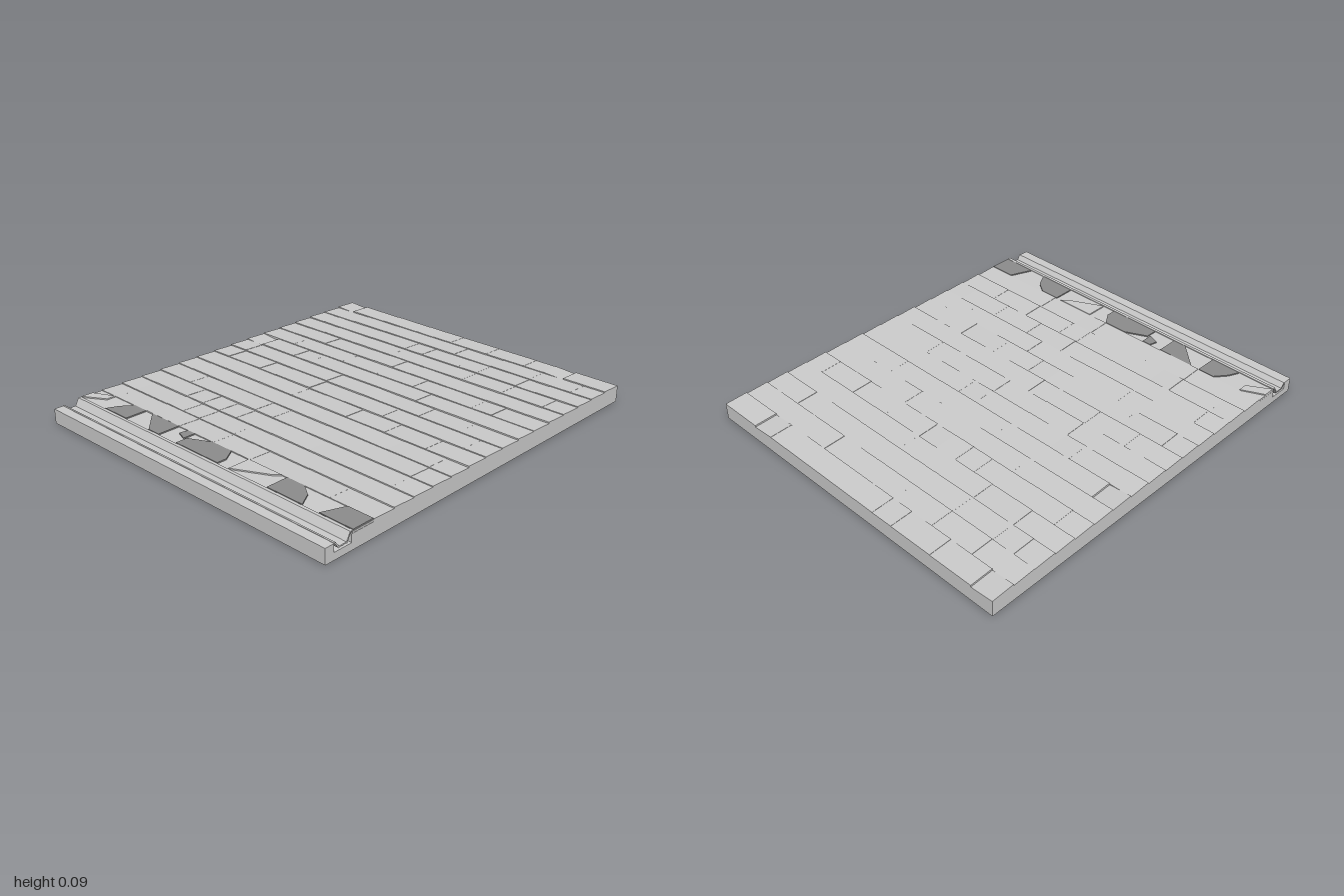
import * as THREE from 'three';

const W = 0.87, DECK = 0.072, TOP = 0.087;
const ROWS = 15, COLS = 15, PITCH_Z = 1.737 / ROWS, PITCH_X = (2 * W) / COLS;

// Small seeded generator for the uneven shingles
function seeded(seed) {
  return () => {
    seed = (seed * 1664525 + 1013904223) % 4294967296;
    return seed / 4294967296;
  };
}

// Extrudes a (z, y) outline across the full width
function acrossWidth(points) {
  const shape = new THREE.Shape(points.map(([z, y]) => new THREE.Vector2(z, y)));
  const geo = new THREE.ExtrudeGeometry(shape, { depth: 2 * W, bevelEnabled: false });
  return geo.rotateY(-Math.PI / 2).translate(W, 0, 0);
}

export function createModel() {
  const group = new THREE.Group();
  const grey = new THREE.MeshStandardMaterial({ color: 0xcccccc });
  const dark = new THREE.MeshStandardMaterial({ color: 0x8c8c8c });
  const add = (name, geo, material = grey, parent = group) => {
    const mesh = new THREE.Mesh(geo, material);
    mesh.name = name;
    parent.add(mesh);
    return mesh;
  };

  // Slab with a notch for the gutter and a raised front lip
  add('roofSlab', acrossWidth([
    [-1, 0], [1, 0], [1, 0.072], [0.953, 0.072], [0.953, 0.034],
    [0.86, 0.034], [0.86, DECK], [-1, DECK],
  ]));

  // Bent sheet gutter lying in the notch
  add('gutter', acrossWidth([
    [0.953, 0.074], [0.945, 0.074], [0.928, 0.05], [0.888, 0.05], [0.868, 0.086], [0.853, 0.086],
    [0.853, 0.082], [0.864, 0.082], [0.884, 0.044], [0.932, 0.044], [0.948, 0.069], [0.953, 0.069],
  ]));

  // Overlapping shingles: one or two columns wide, thicker at the front edge
  const shingles = new THREE.Group();
  shingles.name = 'shingles';
  group.add(shingles);
  const rand = seeded(11);
  const sunken = { '0,0': 1, '0,12': 1, '6,0': 1, '8,7': 1 };
  for (let r = 0; r < ROWS; r++) {
    const z0 = -1 + r * PITCH_Z;
    let c = 0;
    while (c < COLS) {
      const first = c === 0 && r % 2 === 0;
      const span = Math.min(first || rand() < 0.3 ? 1 : 2, COLS - c);
      const x0 = -W + c * PITCH_X, width = span * PITCH_X;
      const drop = sunken[`${r},${c}`] ? 0.008 : 0;
      const left = TOP - rand() * 0.003, right = TOP - rand() * 0.003 - drop;
      const geo = new THREE.BoxGeometry(width, 1, PITCH_Z);
      const p = geo.attributes.position;
      for (let i = 0; i < p.count; i++) {
        const front = p.getZ(i) > 0;
        const edge = p.getX(i) < 0 ? left : right;
        p.setY(i, p.getY(i) < 0 ? DECK - 0.004 : edge - (front ? 0 : 0.005));
      }
      geo.translate(x0 + width / 2, 0, z0 + PITCH_Z / 2);
      geo.computeVertexNormals();
      add('shingle', geo, grey, shingles);
      c += span;
    }
  }

  // Underlay strip along the eave
  add('eaveStrip', new THREE.BoxGeometry(2 * W, 0.008, 0.118).translate(0, 0.077, 0.796));

  // Broken shingles on the eave strip, outlined as (x, z)
  const broken = [
    [[-0.87, 0.85], [-0.87, 0.79], [-0.76, 0.738], [-0.76, 0.785]],
    [[-0.68, 0.85], [-0.655, 0.795], [-0.61, 0.738], [-0.525, 0.738], [-0.525, 0.85]],
    [[-0.48, 0.738], [-0.29, 0.738], [-0.29, 0.85], [-0.36, 0.85]],
    [[-0.225, 0.738], [-0.18, 0.738], [-0.18, 0.8], [-0.235, 0.78]],
    [[-0.17, 0.85], [-0.17, 0.79], [-0.06, 0.738], [0.06, 0.738], [0.1, 0.8], [0.1, 0.85]],
    [[0.17, 0.85], [0.17, 0.738], [0.37, 0.738], [0.34, 0.765]],
    [[0.4, 0.85], [0.4, 0.738], [0.5, 0.738], [0.56, 0.78], [0.6, 0.85]],
    [[0.69, 0.85], [0.735, 0.738], [0.868, 0.738], [0.868, 0.85]],
  ];
  broken.forEach((outline, i) => {
    const shape = new THREE.Shape(outline.map(([x, z]) => new THREE.Vector2(x, -z)));
    const geo = new THREE.ExtrudeGeometry(shape, { depth: 0.007, bevelEnabled: false });
    geo.rotateX(-Math.PI / 2).translate(0, 0.08, 0);
    add('brokenShingle', geo, i === 0 || i === 5 ? grey : dark);
  });

  return group;
}
